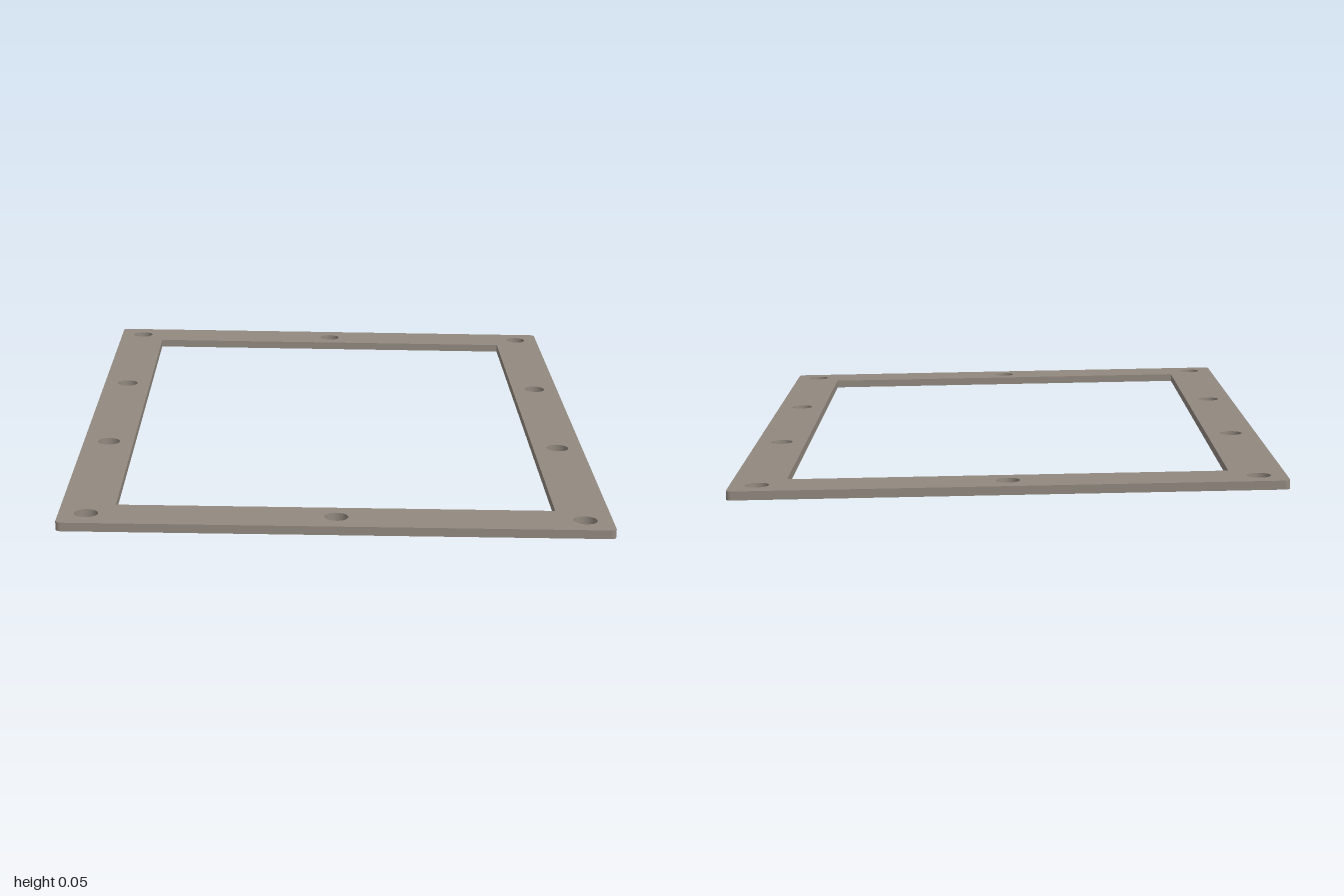
import * as THREE from 'three';

const HALF_W = 0.711, HALF_L = 1.0, CORNER = 0.014;
const INNER_W = 0.57, INNER_L = 0.855;
const THICK = 0.023, TILT = 0.019, HOLE_R = 0.031;

// Rounded outer outline
function outerShape(w, l, r) {
  const s = new THREE.Shape();
  s.moveTo(-w + r, -l);
  s.lineTo(w - r, -l);
  s.absarc(w - r, -l + r, r, -Math.PI / 2, 0);
  s.lineTo(w, l - r);
  s.absarc(w - r, l - r, r, 0, Math.PI / 2);
  s.lineTo(-w + r, l);
  s.absarc(-w + r, l - r, r, Math.PI / 2, Math.PI);
  s.lineTo(-w, -l + r);
  s.absarc(-w + r, -l + r, r, Math.PI, Math.PI * 1.5);
  return s;
}

export function createModel() {
  const group = new THREE.Group();
  group.name = 'mountingFrame';

  const warmGrey = new THREE.MeshStandardMaterial({ color: 0x928a80 });
  warmGrey.name = 'warmGrey';

  const shape = outerShape(HALF_W, HALF_L, CORNER);

  // Rectangular opening
  shape.holes.push(new THREE.Path([
    new THREE.Vector2(-INNER_W, -INNER_L),
    new THREE.Vector2(-INNER_W, INNER_L),
    new THREE.Vector2(INNER_W, INNER_L),
    new THREE.Vector2(INNER_W, -INNER_L),
  ]));

  // Bolt holes: four along each long side, one midway on each short side
  const holes = [[0, -0.925], [0, 0.925]];
  for (const x of [-0.64, 0.64]) {
    for (const z of [-0.925, -0.308, 0.308, 0.925]) holes.push([x, z]);
  }
  for (const [x, z] of holes) {
    shape.holes.push(new THREE.Path().absarc(x, z, HOLE_R, 0, Math.PI * 2, true));
  }

  // Flat plate, laid down and tilted slightly towards its left edge
  const geometry = new THREE.ExtrudeGeometry(shape, { depth: THICK, bevelEnabled: false, curveSegments: 16 });
  geometry.translate(0, 0, -THICK / 2);
  geometry.rotateX(-Math.PI / 2);
  geometry.rotateZ(-TILT);
  geometry.computeBoundingBox();
  geometry.translate(0, -geometry.boundingBox.min.y, 0);

  const plate = new THREE.Mesh(geometry, warmGrey);
  plate.name = 'framePlate';
  group.add(plate);
  return group;
}
